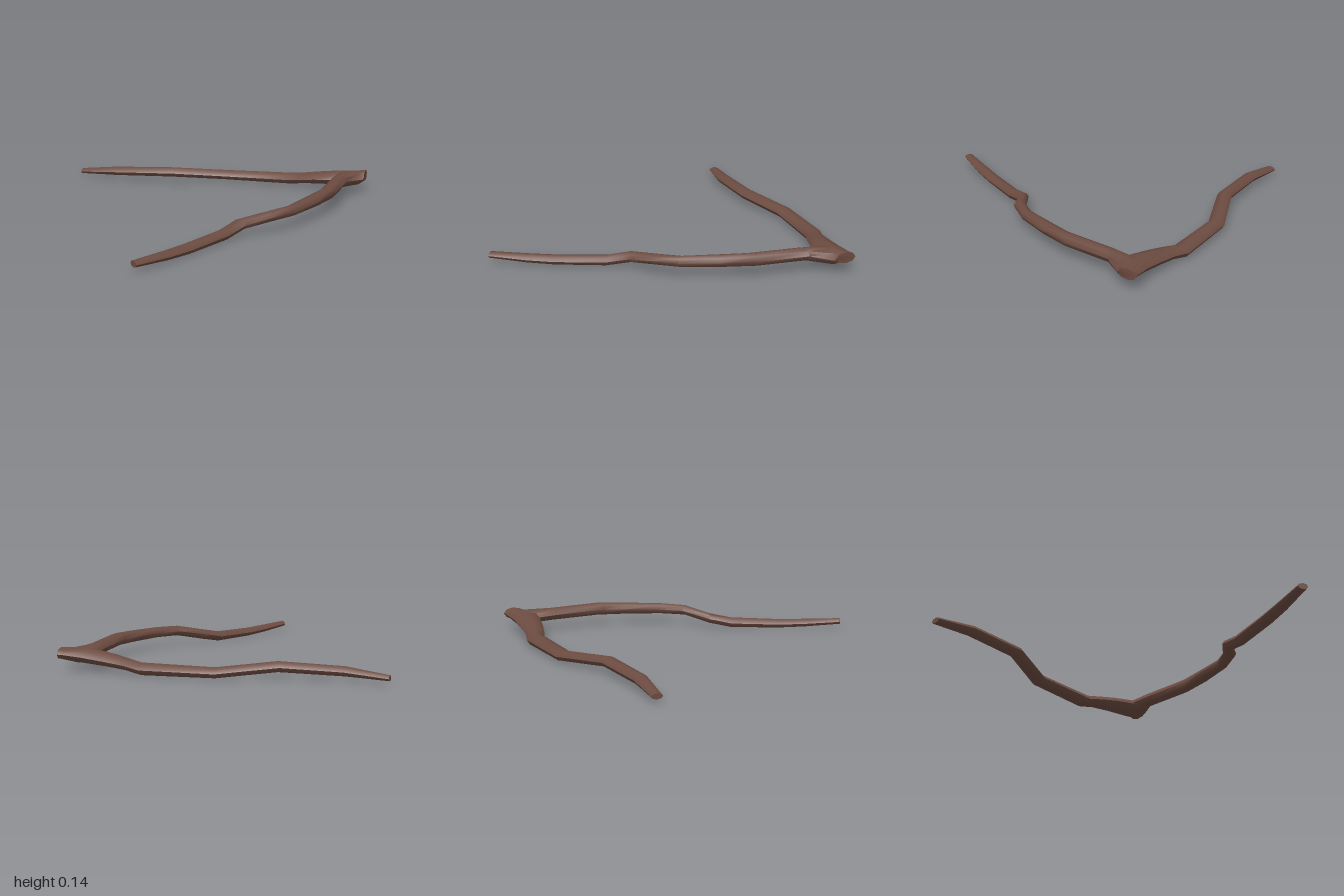
import * as THREE from 'three';
import { toCreasedNormals } from 'three/addons/utils/BufferGeometryUtils.js';

const SIDES = 8;

// Loft oval rings; each section is [left x, left z, right x, right z, bottom y, top y].
function limbGeometry(sections) {
  const pos = [], index = [];
  for (const [lx, lz, rx, rz, y0, y1] of sections) {
    for (let j = 0; j < SIDES; j++) {
      const a = (j / SIDES) * Math.PI * 2;
      const c = Math.cos(a) / 2, s = Math.sin(a) / 2;
      pos.push((lx + rx) / 2 + c * (lx - rx), (y0 + y1) / 2 + s * (y1 - y0), (lz + rz) / 2 + c * (lz - rz));
    }
  }
  const last = (sections.length - 1) * SIDES;
  for (let i = 0; i < last; i += SIDES) {
    for (let j = 0; j < SIDES; j++) {
      const k = (j + 1) % SIDES;
      index.push(i + j, i + k, i + SIDES + j, i + k, i + SIDES + k, i + SIDES + j);
    }
  }
  // Flat cut ends
  for (let j = 1; j < SIDES - 1; j++) {
    index.push(0, j + 1, j, last, last + j, last + j + 1);
  }
  const g = new THREE.BufferGeometry();
  g.setAttribute('position', new THREE.Float32BufferAttribute(pos, 3));
  g.setIndex(index);
  return toCreasedNormals(g, 0.9);
}

export function createModel() {
  const group = new THREE.Group();
  group.name = 'forkedBranch';
  const bark = new THREE.MeshStandardMaterial({ color: 0x6d4c41 });
  bark.name = 'bark brown';

  const limbs = {
    // Front limb, running from its thin end to the pointed butt
    frontLimb: [
      [-0.85, 0.945, -0.83, 0.995, 0.03, 0.065],
      [-0.68, 0.825, -0.64, 0.885, 0.012, 0.06],
      [-0.55, 0.735, -0.51, 0.8, 0.005, 0.058],
      [-0.31, 0.575, -0.27, 0.635, 0.008, 0.068],
      [-0.2, 0.5, -0.15, 0.56, 0.035, 0.095],
      [-0.01, 0.487, 0.0, 0.562, 0.065, 0.125],
      [0.12, 0.435, 0.145, 0.5, 0.067, 0.13],
      [0.28, 0.295, 0.335, 0.36, 0.068, 0.138],
      [0.385, 0.205, 0.48, 0.22, 0.067, 0.143],
      [0.55, -0.05, 0.645, -0.03, 0.06, 0.135],
      [0.66, -0.22, 0.77, -0.085, 0.042, 0.13],
      [0.84, -0.19, 0.78, -0.09, 0.065, 0.13],
    ],
    // Rear limb, thickening into the fork
    rearLimb: [
      [-0.77, -1.0, -0.805, -0.95, 0.02, 0.052],
      [-0.575, -0.865, -0.62, -0.8, 0.028, 0.083],
      [-0.27, -0.71, -0.285, -0.625, 0.036, 0.096],
      [0.075, -0.66, 0.04, -0.57, 0.008, 0.068],
      [0.44, -0.46, 0.385, -0.37, 0.005, 0.075],
      [0.505, -0.39, 0.44, -0.3, 0.02, 0.088],
      [0.61, -0.315, 0.51, -0.225, 0.032, 0.108],
      [0.715, -0.245, 0.61, -0.125, 0.04, 0.128],
      [0.83, -0.19, 0.75, -0.1, 0.07, 0.125],
    ],
  };
  for (const [name, sections] of Object.entries(limbs)) {
    const mesh = new THREE.Mesh(limbGeometry(sections), bark);
    mesh.name = name;
    group.add(mesh);
  }
  return group;
}
